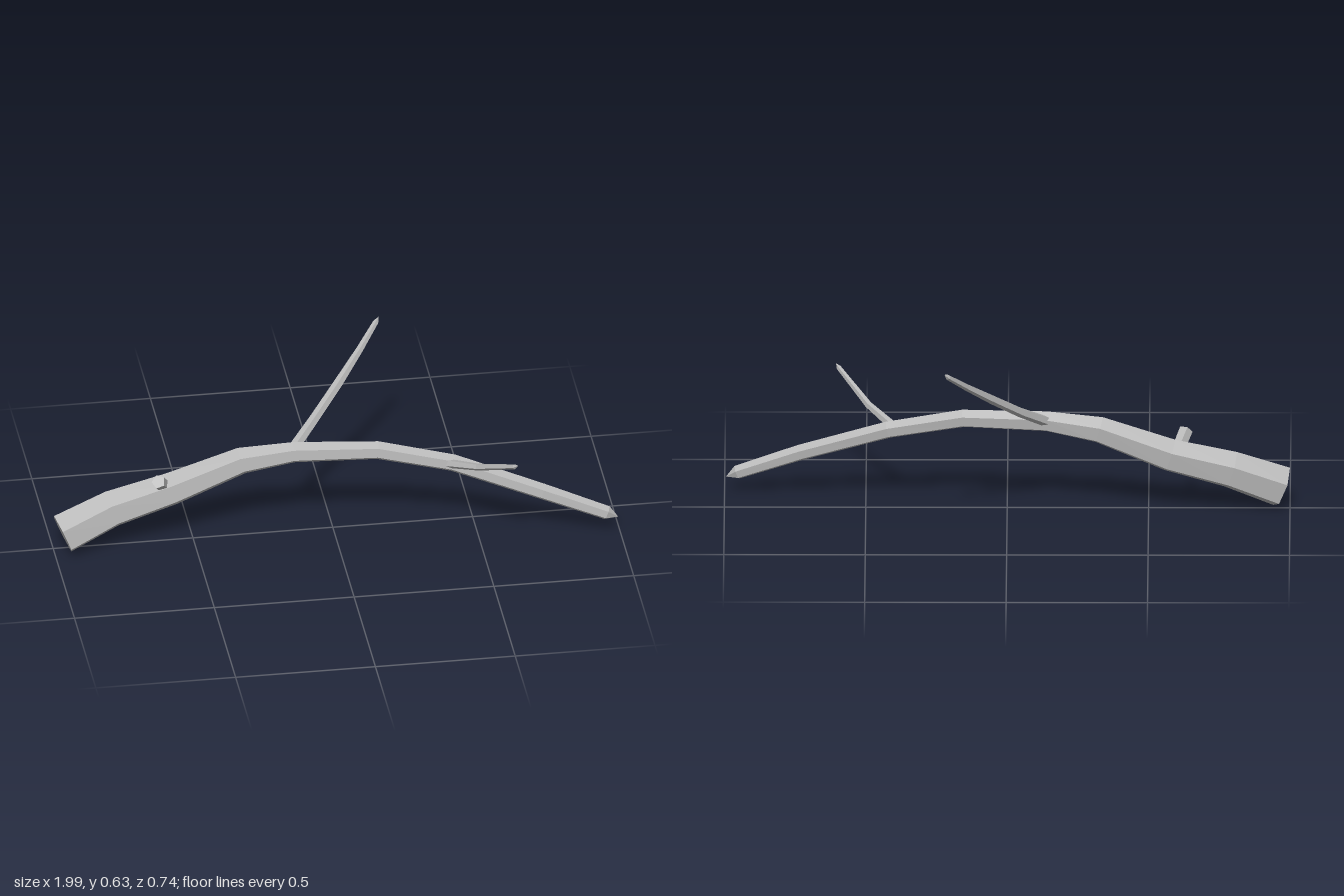
import * as THREE from 'three';

// Loft a faceted limb through rings [x, y, z, radius]; radius 0 makes a pointed tip.
function limb(name, rings, sides, startAngle, material) {
  const centres = rings.map(r => new THREE.Vector3(r[0], r[1], r[2]));
  const up = new THREE.Vector3(0, 1, 0);
  const last = rings.length - 1;
  const positions = [];
  const loops = rings.map((ring, i) => {
    const t = centres[Math.min(i + 1, last)].clone().sub(centres[Math.max(i - 1, 0)]).normalize();
    const u = t.clone().cross(up).normalize();
    const v = u.clone().cross(t);
    return Array.from({ length: sides }, (_, k) => {
      const a = startAngle + (k / sides) * Math.PI * 2;
      return centres[i].clone()
        .addScaledVector(u, Math.cos(a) * ring[3])
        .addScaledVector(v, Math.sin(a) * ring[3]);
    });
  });
  const tri = (a, b, c) => positions.push(...a.toArray(), ...b.toArray(), ...c.toArray());
  for (let k = 0; k < sides; k++) {
    const n = (k + 1) % sides;
    for (let i = 0; i < last; i++) {
      const [a, b, c, d] = [loops[i][k], loops[i][n], loops[i + 1][n], loops[i + 1][k]];
      tri(a, d, b);
      if (rings[i + 1][3] > 0) tri(b, d, c);
    }
    // End caps
    tri(centres[0], loops[0][k], loops[0][n]);
    if (rings[last][3] > 0) tri(centres[last], loops[last][n], loops[last][k]);
  }
  const geometry = new THREE.BufferGeometry();
  geometry.setAttribute('position', new THREE.Float32BufferAttribute(positions, 3));
  geometry.computeVertexNormals();
  const mesh = new THREE.Mesh(geometry, material);
  mesh.name = name;
  return mesh;
}

export function createModel() {
  const group = new THREE.Group();
  group.name = 'fallenBranch';
  const bark = new THREE.MeshStandardMaterial({ color: 0xb8b8b8 });
  bark.name = 'greyBark';
  bark.flatShading = true;
  const start = THREE.MathUtils.degToRad(-83);

  // Arched main branch, thick cut end on the right side, pointed at the far end
  group.add(limb('mainBranch', [
    [-0.97, 0.08, 0.025, 0.078],
    [-0.79, 0.153, 0.0, 0.071],
    [-0.575, 0.21, -0.01, 0.063],
    [-0.325, 0.304, -0.008, 0.051],
    [-0.14, 0.33, 0.006, 0.039],
    [0.155, 0.33, 0.036, 0.034],
    [0.42, 0.275, 0.07, 0.032],
    [0.73, 0.167, 0.133, 0.03],
    [0.955, 0.08, 0.167, 0.026],
    [0.995, 0.062, 0.17, 0],
  ], 6, start, bark));

  // Long twig rising to the back
  group.add(limb('backTwig', [
    [-0.14, 0.335, -0.01, 0.02],
    [-0.05, 0.4, -0.1, 0.018],
    [0.05, 0.482, -0.195, 0.017],
    [0.14, 0.56, -0.285, 0.013],
    [0.208, 0.624, -0.357, 0.01],
    [0.221, 0.638, -0.37, 0],
  ], 5, start, bark));

  // Short twig reaching to the front
  group.add(limb('frontTwig', [
    [0.395, 0.278, 0.075, 0.017],
    [0.49, 0.322, 0.195, 0.013],
    [0.596, 0.405, 0.355, 0.009],
    [0.607, 0.417, 0.37, 0],
  ], 5, start, bark));

  // Snapped stub near the thick end
  group.add(limb('stub', [
    [-0.605, 0.23, 0.0, 0.024],
    [-0.632, 0.28, 0.056, 0.025],
  ], 5, start, bark));

  return group;
}
